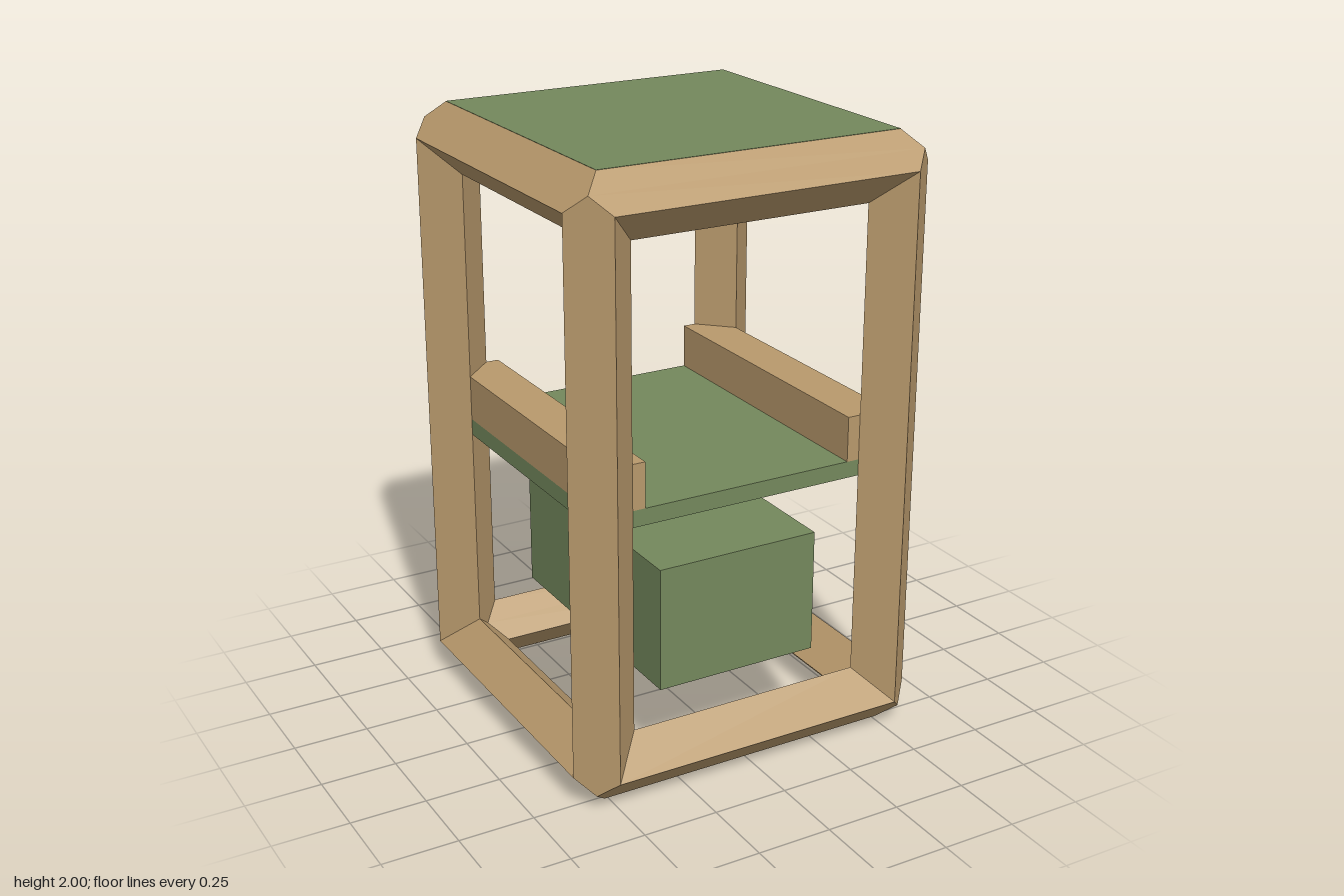
import * as THREE from 'three';

const L = 0.512, T = 0.107;                 // beam centre line and half diagonal
const HALF = [L, 1 - T, L];                 // frame half sizes on x, y, z

const wood = new THREE.MeshStandardMaterial({ color: 0xb8996c, flatShading: true });
const green = new THREE.MeshStandardMaterial({ color: 0x74885c });

// Diamond-section beam along one axis; its ends are mitred into the other two beams
function beamGeometry(axis, su, sv) {
  const u = (axis + 1) % 3, v = (axis + 2) % 3, h = T / 2;
  const section = [[T, 0], [h, h], [0, T], [-T, 0], [-h, -h], [0, -T]];
  const n = section.length, positions = [], index = [];
  for (const end of [-1, 1]) {
    for (const [p, q] of section) {
      const point = [0, 0, 0];
      point[axis] = end * (HALF[axis] + Math.min(p, q));
      point[u] = su * (HALF[u] + p);
      point[v] = sv * (HALF[v] + q);
      positions.push(...point);
    }
  }
  for (let i = 0; i < n; i++) {
    const a = i, b = (i + 1) % n, c = b + n, d = a + n;
    if (su * sv > 0) index.push(a, b, c, a, c, d);
    else index.push(a, c, b, a, d, c);
  }
  const indexed = new THREE.BufferGeometry();
  indexed.setAttribute('position', new THREE.Float32BufferAttribute(positions, 3));
  indexed.setIndex(index);
  const geometry = indexed.toNonIndexed();
  geometry.computeVertexNormals();
  return geometry;
}

function box(name, material, size, position) {
  const mesh = new THREE.Mesh(new THREE.BoxGeometry(...size), material);
  mesh.name = name;
  mesh.position.set(...position);
  return mesh;
}

export function createModel() {
  const model = new THREE.Group();
  model.name = 'framedChair';

  // Open frame of twelve beams
  const frame = new THREE.Group();
  frame.name = 'frame';
  frame.position.y = 1;
  const names = ['crossBeam', 'post', 'sideBeam'];
  for (let axis = 0; axis < 3; axis++) {
    for (const su of [-1, 1]) {
      for (const sv of [-1, 1]) {
        const beam = new THREE.Mesh(beamGeometry(axis, su, sv), wood);
        beam.name = names[axis];
        frame.add(beam);
      }
    }
  }
  model.add(frame);

  // Thin canopy resting on the top ridges
  model.add(box('canopy', green, [2 * L, 0.006, 2 * L], [0, 1.998, 0]));

  // Seat board and the storage box below it
  model.add(box('seat', green, [2 * L, 0.055, 2 * L], [0, 0.928, 0]));
  model.add(box('storageBox', green, [0.565, 0.415, 0.92], [0, 0.502, 0]));

  // Armrests
  for (const side of [-1, 1]) {
    model.add(box(side > 0 ? 'leftArmrest' : 'rightArmrest', wood,
      [0.15, 0.15, 2 * L], [side * 0.437, 1.03, 0]));
  }
  return model;
}
